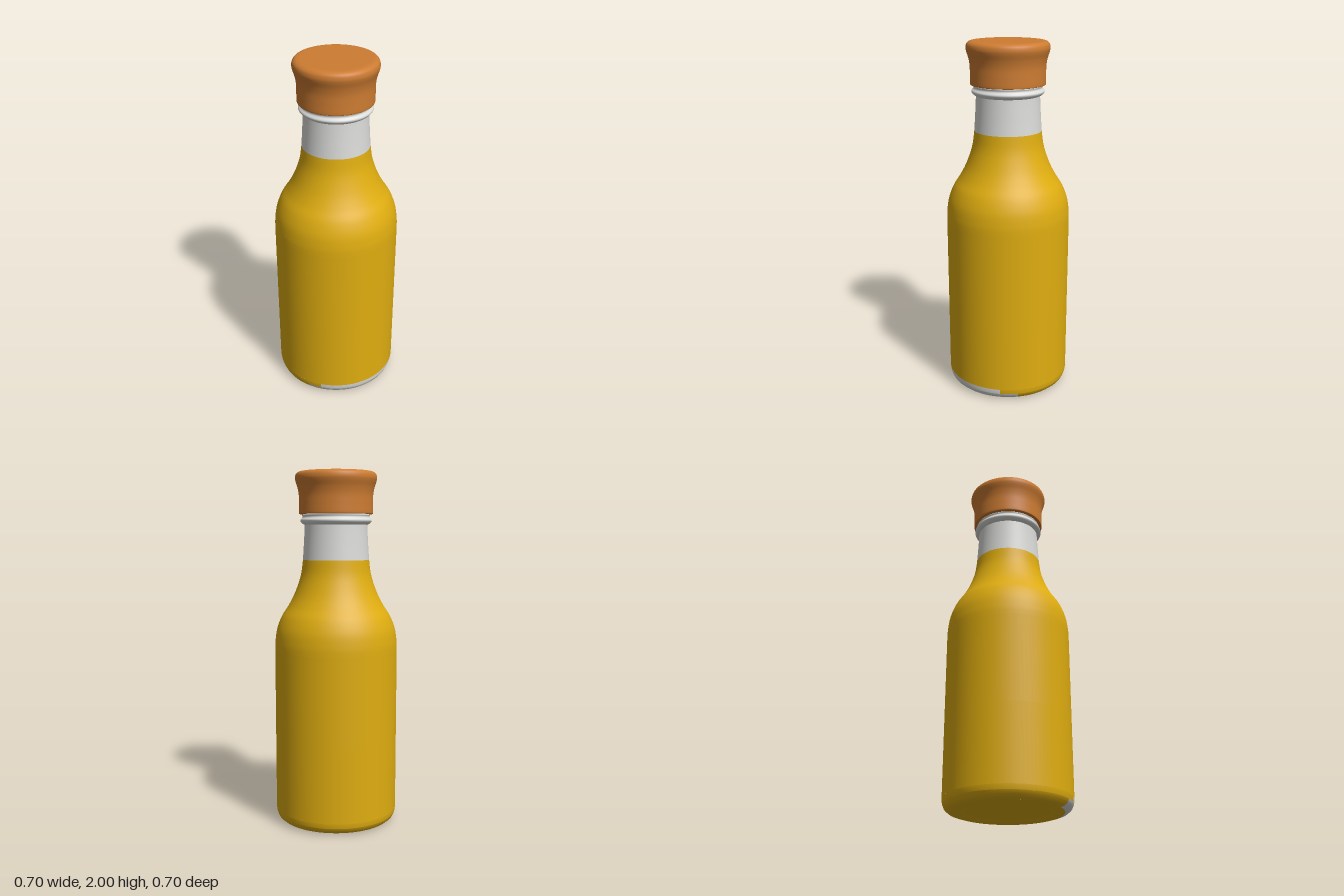
import * as THREE from 'three';

const SEGMENTS = 96;
const mat = (name, color) => {
  const m = new THREE.MeshStandardMaterial({ color });
  m.name = name;
  return m;
};
const toPoints = (list) => list.map(([r, y]) => new THREE.Vector2(r, y));
// Smooth profile through a few radius/height points
const smooth = (list, n) => new THREE.SplineCurve(toPoints(list)).getPoints(n)
  .map((p) => new THREE.Vector2(Math.max(p.x, 0), p.y));

export function createModel() {
  const yellow = mat('mustard yellow', 0xdfad10);
  const white = mat('pale grey', 0xdcdcda);
  const orange = mat('cap orange', 0xcd7c32);
  const bottle = new THREE.Group();
  bottle.name = 'bottle';

  // Surface of revolution, optionally limited to an arc (angle 0 is the front)
  const turn = (name, points, material, from = 0, to = Math.PI * 2) => {
    const steps = Math.max(8, Math.ceil(SEGMENTS * (to - from) / (Math.PI * 2)));
    const mesh = new THREE.Mesh(new THREE.LatheGeometry(points, steps, from, to - from), material);
    mesh.name = name;
    bottle.add(mesh);
  };

  // Slightly hollow underside
  turn('underside', smooth([[0, 0.02], [0.2, 0.018], [0.25, 0.006], [0.28, 0], [0.3, 0.002]], 20), yellow);

  // Rounded bottom edge in two bands, each with a pale patch at the front
  const bands = [
    { points: [[0.3, 0.002], [0.322, 0.009], [0.338, 0.023], [0.346, 0.042]], start: -1.05, end: 1.28 },
    { points: [[0.346, 0.042], [0.349, 0.056], [0.35, 0.07]], start: -0.82, end: 0.98 },
  ];
  for (const { points, start, end } of bands) {
    turn('basePatch', toPoints(points), white, start, end);
    turn('baseEdge', toPoints(points), yellow, end, start + Math.PI * 2);
  }

  // Straight body, then shoulder flowing into the neck
  turn('body', toPoints([[0.35, 0.07], [0.35, 0.5], [0.35, 1.0]]), yellow);
  turn('shoulder', smooth([[0.35, 1.0], [0.348, 1.05], [0.337, 1.12], [0.31, 1.19], [0.272, 1.25],
    [0.24, 1.31], [0.213, 1.38], [0.197, 1.44], [0.188, 1.51]], 48), yellow);

  // Bare neck and its lip ring
  turn('neck', smooth([[0.188, 1.51], [0.182, 1.6], [0.177, 1.7], [0.176, 1.78]], 12), white);
  turn('neckRing', smooth([[0.176, 1.705], [0.19, 1.712], [0.2, 1.724], [0.2, 1.734], [0.191, 1.744],
    [0.189, 1.752], [0.191, 1.762], [0.176, 1.768]], 32), white);

  // Flared stopper: flat underside, waisted side, soft rim, flat top
  turn('capUnderside', toPoints([[0, 1.765], [0.204, 1.765]]), orange);
  turn('capSide', smooth([[0.204, 1.765], [0.208, 1.772], [0.208, 1.82], [0.209, 1.87], [0.216, 1.91],
    [0.227, 1.945], [0.23, 1.965], [0.225, 1.985], [0.21, 1.997], [0.19, 2.0]], 48), orange);
  turn('capTop', toPoints([[0.19, 2.0], [0, 2.0]]), orange);

  return bottle;
}
